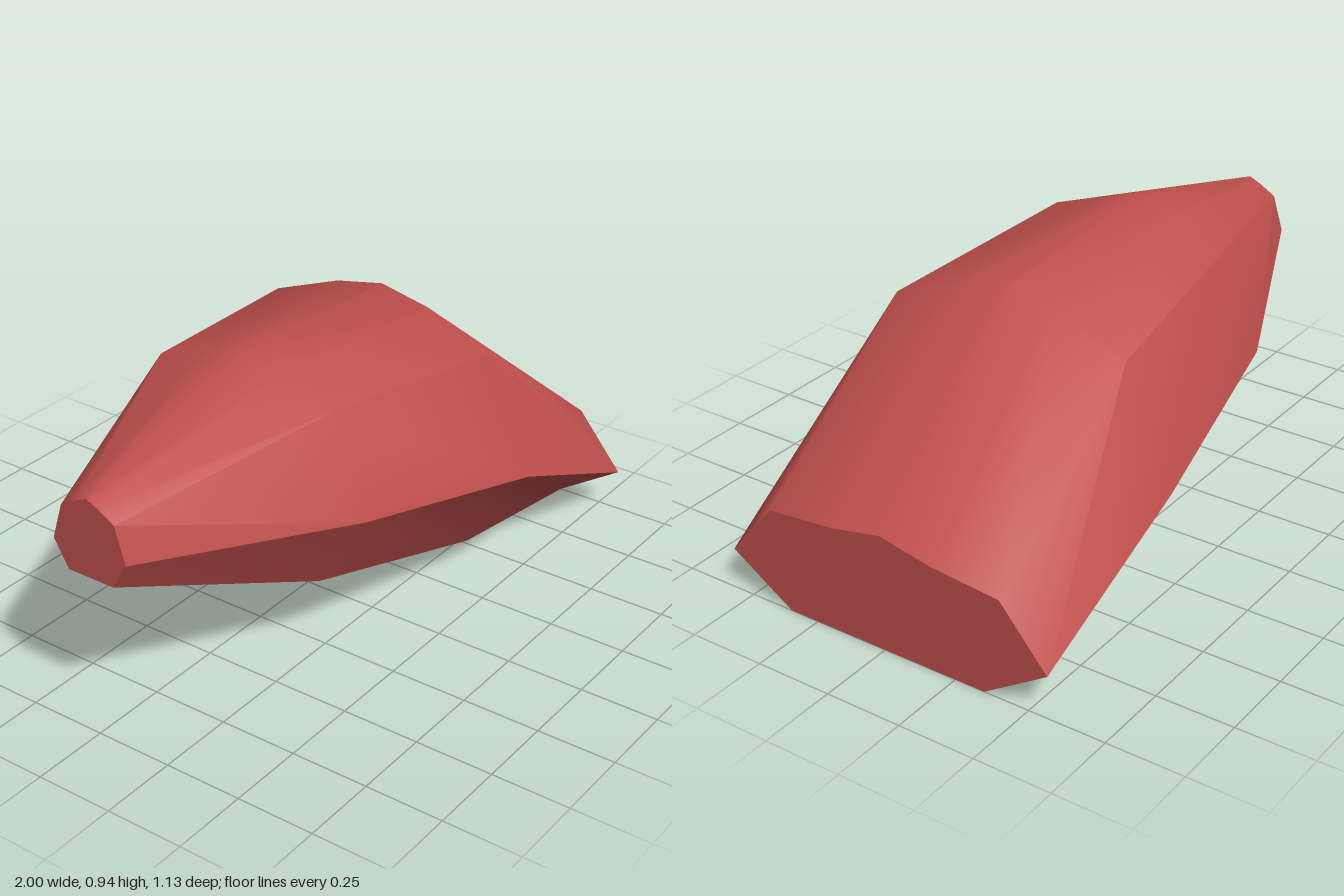
import * as THREE from 'three';
import { toCreasedNormals } from 'three/addons/utils/BufferGeometryUtils.js';

// Half cross-sections along the length: [z, y] from ridge to lower edge
const SECTIONS = [
  { x: -1.0, half: [[0, 0.775], [0.04, 0.757], [0.095, 0.725], [0.13, 0.61], [0.08, 0.525]] },
  { x: -0.31, half: [[0, 0.948], [0.133, 0.91], [0.315, 0.845], [0.435, 0.525], [0.27, 0.265]] },
  { x: 0.39, half: [[0, 0.905], [0.17, 0.87], [0.407, 0.78], [0.563, 0.4], [0.35, 0.092]] },
  { x: 1.0, half: [[0, 0.383], [0.17, 0.348], [0.407, 0.326], [0.563, 0.14], [0.35, 0.003]] },
];

// Mirror a half section into a closed ring of points
function ring({ x, half }) {
  const mirrored = half.slice(1).reverse().map(([z, y]) => [-z, y]);
  return [...half, ...mirrored].map(([z, y]) => new THREE.Vector3(x, y, z));
}

function geometryFrom(points) {
  const geometry = new THREE.BufferGeometry().setFromPoints(points);
  return toCreasedNormals(geometry, THREE.MathUtils.degToRad(40));
}

// Skin joining neighbouring rings
function shellGeometry(rings) {
  const points = [];
  for (let i = 0; i < rings.length - 1; i++) {
    const n = rings[i].length;
    for (let j = 0; j < n; j++) {
      const k = (j + 1) % n;
      const a = rings[i][j], b = rings[i + 1][j], c = rings[i + 1][k], d = rings[i][k];
      // Mirror the diagonals so both sides match
      if (j < n / 2) points.push(a, d, c, a, c, b);
      else points.push(a, d, b, d, c, b);
    }
  }
  return geometryFrom(points);
}

// Flat end face, fanned from its middle
function capGeometry(loop, reverse) {
  const ys = loop.map((p) => p.y);
  const middle = new THREE.Vector3(loop[0].x, (Math.min(...ys) + Math.max(...ys)) / 2, 0);
  const points = [];
  loop.forEach((p, j) => {
    const q = loop[(j + 1) % loop.length];
    points.push(middle, ...(reverse ? [q, p] : [p, q]));
  });
  return geometryFrom(points);
}

export function createModel() {
  const group = new THREE.Group();
  group.name = 'facetedHull';
  const red = new THREE.MeshStandardMaterial({ color: 0xc0504d });
  red.name = 'brickRed';
  const rings = SECTIONS.map(ring);

  const add = (name, geometry) => {
    const mesh = new THREE.Mesh(geometry, red);
    mesh.name = name;
    group.add(mesh);
  };
  add('shell', shellGeometry(rings));
  add('narrowEnd', capGeometry(rings[0], true));
  add('wideEnd', capGeometry(rings[rings.length - 1], false));
  return group;
}
